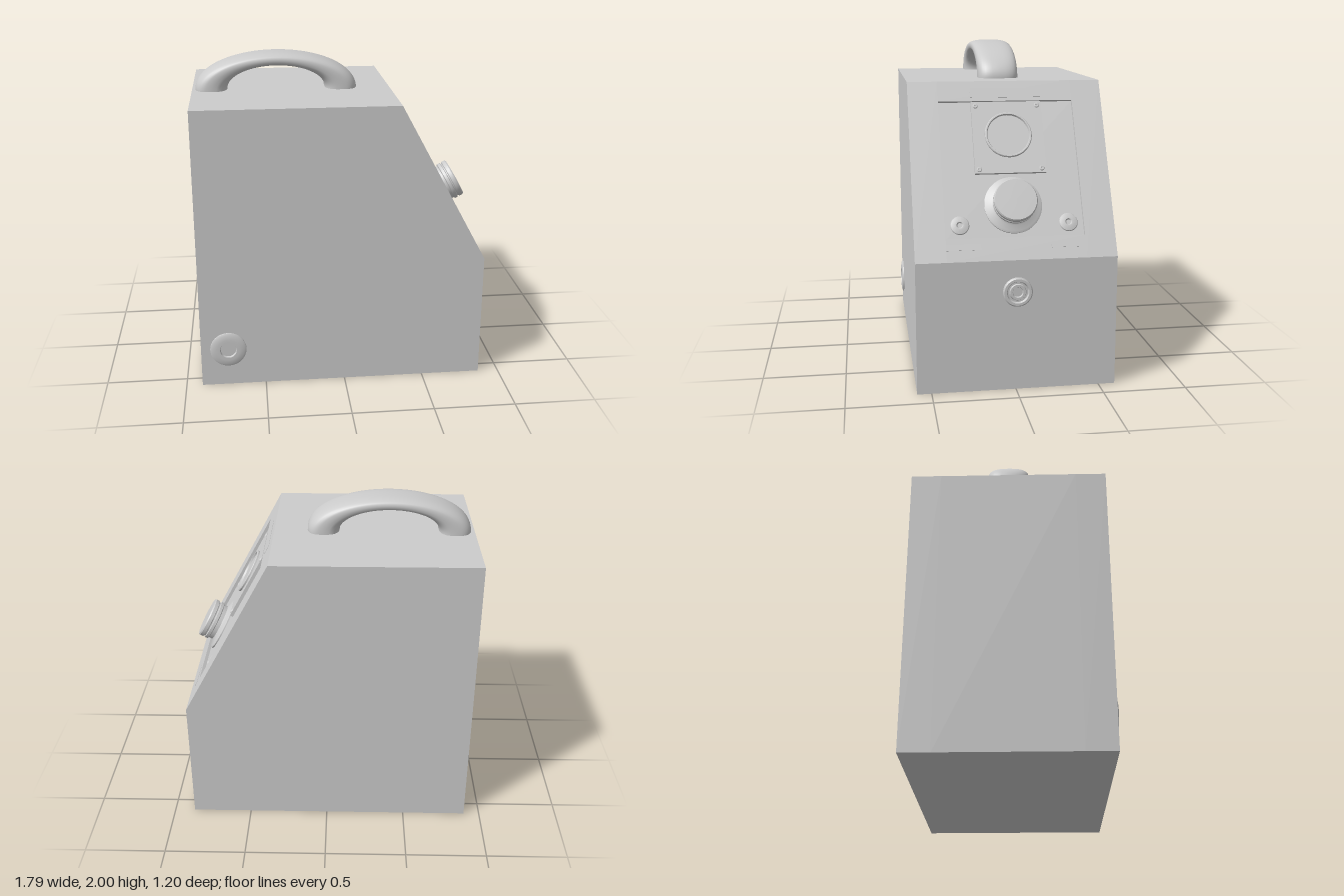
import * as THREE from 'three';
import { toCreasedNormals } from 'three/addons/utils/BufferGeometryUtils.js';
import { ParametricGeometry } from 'three/addons/geometries/ParametricGeometry.js';

const grey = new THREE.MeshStandardMaterial({ color: 0xcccccc, side: THREE.DoubleSide });
const ZC = -0.0075; // middle of the housing in z

// Slanted face, from its top edge to its bottom edge
const TOP = new THREE.Vector2(0.335, 1.775);
const LOW = new THREE.Vector2(0.872, 0.79);
const DOWN = LOW.clone().sub(TOP).normalize();
const OUT = new THREE.Vector2(-DOWN.y, DOWN.x);
const MID = TOP.clone().add(LOW).multiplyScalar(0.5);
const DEPTH = 0.02; // depth of the panel recess
const slopeV = (y) => (y - MID.y) / -DOWN.y; // height -> distance up the slope

function add(parent, name, geometry, x = 0, y = 0, z = 0) {
  const mesh = new THREE.Mesh(geometry, grey);
  mesh.name = name;
  mesh.position.set(x, y, z);
  parent.add(mesh);
  return mesh;
}

// Turned part whose axis points along +z
function turned(profile, segments = 48) {
  const points = profile.map(([r, h]) => new THREE.Vector2(r, h));
  return toCreasedNormals(new THREE.LatheGeometry(points, segments).rotateX(Math.PI / 2), 0.5);
}

function addHousing(group) {
  const at = (y, depth) => {
    const p = TOP.clone().addScaledVector(DOWN, (TOP.y - y) / -DOWN.y);
    return p.addScaledVector(OUT, -depth);
  };
  const recess = [at(0.91, 0), at(0.91, DEPTH), at(1.66, DEPTH), at(1.66, 0)];
  const outline = (notch) => new THREE.Shape([
    new THREE.Vector2(-0.9, 0), new THREE.Vector2(0.872, 0), LOW, ...notch, TOP,
    new THREE.Vector2(-0.9, 1.775),
  ]);
  // Two side slices and a notched middle slice form the recessed housing
  const slices = [[-0.6, -0.4175, []], [-0.4175, 0.4025, recess], [0.4025, 0.585, []]];
  for (const [z0, z1, notch] of slices) {
    const geometry = new THREE.ExtrudeGeometry(outline(notch), { depth: z1 - z0, bevelEnabled: false });
    add(group, 'housing', geometry, 0, 0, z0);
  }
}

function addHandle(group) {
  const soft = (v) => Math.sign(v) * Math.abs(v) ** 0.7;
  const arch = (u, v, target) => {
    const t = u * Math.PI, a = v * Math.PI * 2;
    const c = soft(Math.cos(a));
    target.set(
      Math.cos(t) * (0.405 + 0.1 * c),
      Math.sin(t) * (0.185 + 0.04 * c),
      soft(Math.sin(a)) * 0.128,
    );
  };
  add(group, 'handle', new ParametricGeometry(arch, 48, 32), -0.375, 1.775, -0.011);
}

function addPanel(group) {
  const panel = new THREE.Group();
  panel.name = 'controlPanel';
  const basis = new THREE.Matrix4().makeBasis(
    new THREE.Vector3(0, 0, -1),
    new THREE.Vector3(-DOWN.x, -DOWN.y, 0),
    new THREE.Vector3(OUT.x, OUT.y, 0),
  );
  panel.quaternion.setFromRotationMatrix(basis);
  panel.position.set(MID.x, MID.y, ZC);
  group.add(panel);

  // Gauge on its square plate
  const plateTop = slopeV(1.655), plateLow = slopeV(1.255);
  const plateH = plateTop - plateLow, plateV = (plateTop + plateLow) / 2;
  add(panel, 'gaugePlate', new THREE.BoxGeometry(0.428, plateH, 0.022), 0, plateV, -0.01);
  add(panel, 'gaugeBezel', turned([
    [0.142, 0], [0.142, 0.011], [0.138, 0.015], [0.131, 0.015], [0.126, 0.004], [0, 0.004],
  ]), 0, slopeV(1.465), 0);
  for (const sx of [-1, 1]) {
    for (const sy of [-1, 1]) {
      add(panel, 'plateScrew', turned([[0.016, 0], [0.013, 0.004], [0.006, 0.005], [0.004, 0.002], [0, 0.002]], 16),
        sx * 0.188, plateV + sy * (plateH / 2 - 0.026), 0.001);
    }
  }

  // Round knob on a flared collar
  add(panel, 'knob', turned([
    [0.172, -DEPTH], [0.172, -0.012], [0.16, -0.005], [0.128, 0.002], [0.118, 0.01], [0.118, 0.035],
    [0.128, 0.04], [0.128, 0.058], [0.12, 0.062], [0.12, 0.068], [0.128, 0.072],
    [0.128, 0.094], [0.122, 0.102], [0, 0.104],
  ]), 0, slopeV(1.085), 0);

  // Lower fixings
  for (const s of [-1, 1]) {
    add(panel, 'panelFixing', turned([
      [0.056, 0], [0.052, 0.006], [0.03, 0.012], [0.02, 0.012], [0.014, 0.005], [0, 0.005],
    ], 32), s * 0.322, slopeV(0.985), -DEPTH);
  }

  // Thin label strips above and below the recess
  const strip = (w, y0, y1, x) => add(panel, 'labelStrip',
    new THREE.BoxGeometry(w, slopeV(y1) - slopeV(y0), 0.004), x, (slopeV(y0) + slopeV(y1)) / 2, 0);
  strip(0.43, 1.68, 1.735, 0);
  for (const s of [-1, 1]) strip(0.205, 0.85, 0.88, s * 0.308);
}

function addPorts(group) {
  // Socket on the upright end face
  const socket = add(group, 'endSocket', turned([
    [0.087, 0], [0.087, 0.012], [0.08, 0.018], [0.066, 0.018], [0.06, 0.006],
    [0.05, 0.006], [0.046, 0.014], [0.032, 0.014], [0.028, 0.003], [0, 0.003],
  ]), 0.872, 0.6, ZC);
  socket.rotation.y = Math.PI / 2;

  // Ring-shaped inlet low on the front
  add(group, 'frontInlet', turned([
    [0.113, 0], [0.112, 0.006], [0.1, 0.012], [0.07, 0.015], [0.052, 0.015], [0.048, 0.002], [0, 0.002],
  ]), -0.73, 0.245, 0.585);
}

export function createModel() {
  const group = new THREE.Group();
  group.name = 'portableUnit';
  addHousing(group);
  addHandle(group);
  addPanel(group);
  addPorts(group);
  return group;
}
